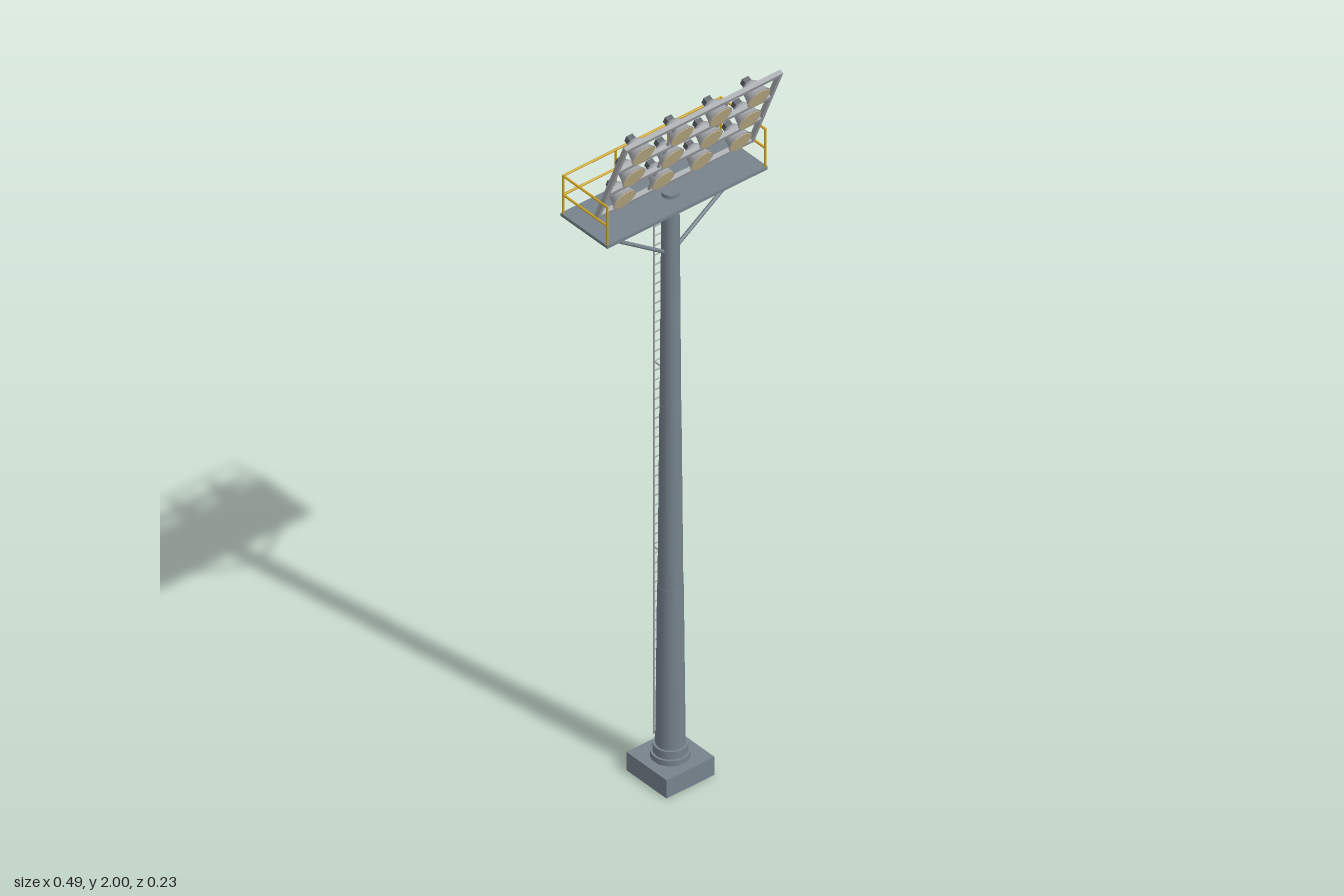
import * as THREE from 'three';

const mat = (name, color) => {
  const m = new THREE.MeshStandardMaterial({ color });
  m.name = name;
  return m;
};

export function createModel() {
  const steel = mat('paintedSteel', 0x77838d);
  const galvanized = mat('galvanizedMetal', 0xa6a9ad);
  const dark = mat('darkGrey', 0x5c6368);
  const yellow = mat('safetyYellow', 0xd0a520);
  const glass = mat('lampGlass', 0xcdbb92);

  const model = new THREE.Group();
  model.name = 'floodlightMast';
  const poleZ = -0.013;

  const add = (parent, name, geometry, material, x = 0, y = 0, z = 0) => {
    const mesh = new THREE.Mesh(geometry, material);
    mesh.name = name;
    mesh.position.set(x, y, z);
    parent.add(mesh);
    return mesh;
  };
  const box = (parent, name, w, h, d, m, x, y, z) =>
    add(parent, name, new THREE.BoxGeometry(w, h, d), m, x, y, z);
  // Upright cylinder from y0 to y1
  const drum = (parent, name, r0, r1, y0, y1, m) =>
    add(parent, name, new THREE.CylinderGeometry(r1, r0, y1 - y0, 24), m, 0, (y0 + y1) / 2, poleZ);
  // Round rod between two points
  const rod = (parent, name, a, b, r, m, sides = 8) => {
    const p = new THREE.Vector3(...a), q = new THREE.Vector3(...b);
    const dir = q.clone().sub(p);
    const mesh = add(parent, name, new THREE.CylinderGeometry(r, r, dir.length(), sides), m);
    mesh.position.copy(p).add(q).multiplyScalar(0.5);
    mesh.quaternion.setFromUnitVectors(new THREE.Vector3(0, 1, 0), dir.normalize());
    return mesh;
  };

  // Foundation and flange
  box(model, 'foundation', 0.146, 0.053, 0.146, steel, 0, 0.0265, poleZ);
  drum(model, 'basePlate', 0.048, 0.048, 0.053, 0.068, steel);
  drum(model, 'baseFlange', 0.042, 0.042, 0.068, 0.09, steel);

  // Tapering pole in three slightly stepped sections
  drum(model, 'poleLower', 0.036, 0.0315, 0.09, 0.55, steel);
  drum(model, 'poleMiddle', 0.0305, 0.026, 0.55, 1.08, steel);
  drum(model, 'poleUpper', 0.0255, 0.0215, 1.08, 1.695, steel);
  drum(model, 'poleCollar', 0.028, 0.028, 1.645, 1.676, steel);

  // Platform and its diagonal braces
  const platZ = -0.036;
  box(model, 'platform', 0.49, 0.009, 0.17, steel, 0, 1.68, platZ);
  for (const s of [-1, 1]) {
    rod(model, 'platformBrace', [s * 0.018, 1.525, poleZ], [s * 0.237, 1.676, poleZ], 0.005, steel);
  }

  // Guard rail on the back and both ends
  const guard = new THREE.Group();
  guard.name = 'guardRail';
  model.add(guard);
  const gx = 0.241, backZ = -0.117, frontZ = 0.045;
  for (const y of [1.738, 1.793]) {
    rod(guard, 'backRail', [-gx, y, backZ], [gx, y, backZ], 0.003, yellow);
    for (const s of [-1, 1]) rod(guard, 'endRail', [s * gx, y, backZ], [s * gx, y, frontZ], 0.003, yellow);
  }
  for (const x of [-gx, -0.08, 0.08, gx]) {
    rod(guard, 'backPost', [x, 1.684, backZ], [x, 1.795, backZ], 0.003, yellow);
  }
  for (const s of [-1, 1]) rod(guard, 'frontPost', [s * gx, 1.684, frontZ], [s * gx, 1.795, frontZ], 0.003, yellow);

  // Ladder on the back of the pole
  const ladder = new THREE.Group();
  ladder.name = 'ladder';
  model.add(ladder);
  const lx = 0.018, lz = -0.052;
  for (const s of [-1, 1]) {
    rod(ladder, 'ladderRail', [s * lx, 0.1, lz], [s * lx, 1.676, lz], 0.0025, galvanized, 6);
    for (const y of [0.11, 0.645, 1.185, 1.64]) {
      rod(ladder, 'ladderBracket', [s * lx, y, lz], [s * lx, y, poleZ], 0.0025, galvanized, 6);
    }
  }
  for (let y = 0.12; y < 1.67; y += 0.028) {
    rod(ladder, 'ladderRung', [-lx, y, lz], [lx, y, lz], 0.0018, galvanized, 6);
  }

  // Lamp rack, leaning forward at the top
  const rack = new THREE.Group();
  rack.name = 'lampRack';
  rack.position.set(0, 1.741, 0.002);
  rack.rotation.x = 0.39;
  model.add(rack);
  const step = 0.09, t = 0.012;
  for (let i = 0; i < 4; i++) box(rack, 'rackBar', 0.48, t, t, galvanized, 0, i * step, 0);
  for (const s of [-1, 1]) {
    box(rack, 'rackSide', 0.009, step * 3, t, galvanized, s * 0.2355, step * 1.5, 0);
    box(rack, 'rackStrut', 0.006, step * 3, 0.006, galvanized, s * 0.08, step * 1.5, 0);
  }

  // Bell-shaped floodlights, pointing along the rack's +z
  const cone = (r0, r1, z0, z1) =>
    new THREE.CylinderGeometry(r1, r0, z1 - z0, 24).rotateX(Math.PI / 2).translate(0, 0, (z0 + z1) / 2);
  const backGeo = cone(0.017, 0.022, -0.03, -0.024);
  const bodyGeo = cone(0.022, 0.029, -0.024, 0.004);
  const rimGeo = cone(0.029, 0.034, 0.004, 0.013);
  const lensGeo = cone(0.031, 0.031, 0.012, 0.0145);
  const gearGeo = new THREE.BoxGeometry(0.019, 0.019, 0.018);
  for (let row = 0; row < 3; row++) {
    for (const x of [-0.177, -0.059, 0.059, 0.177]) {
      const lamp = new THREE.Group();
      lamp.name = 'floodlight';
      lamp.position.set(x, (row + 0.5) * step, 0);
      rack.add(lamp);
      add(lamp, 'lampBack', backGeo, galvanized);
      add(lamp, 'lampBody', bodyGeo, galvanized);
      add(lamp, 'lampRim', rimGeo, galvanized);
      add(lamp, 'lampLens', lensGeo, glass);
      add(lamp, 'lampGearBox', gearGeo, dark, 0, 0, -0.037);
    }
  }

  return model;
}
